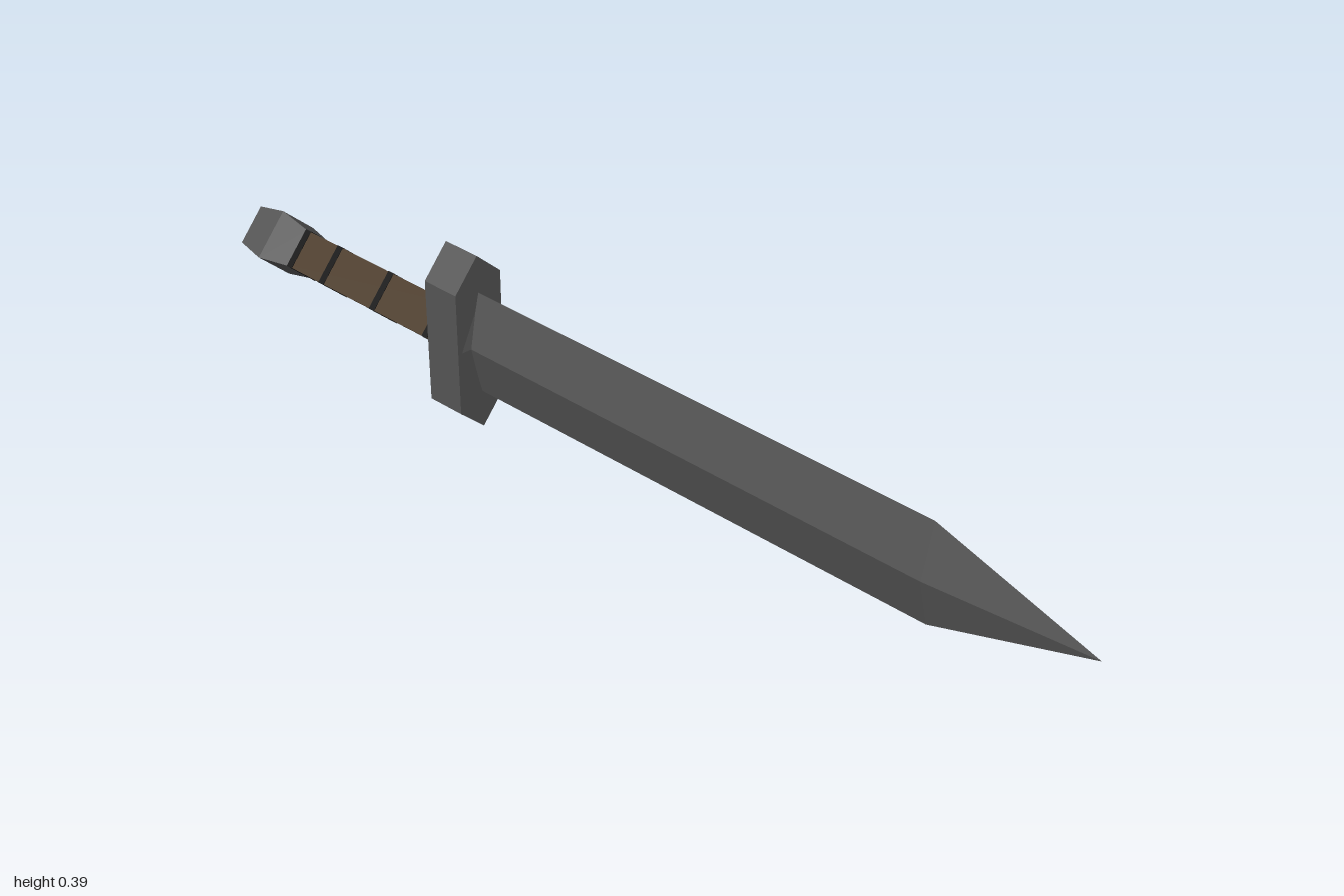
import * as THREE from 'three';

const CENTRE_Y = 0.196;

const material = (color) => new THREE.MeshStandardMaterial({ color, flatShading: true });

// Four-sided loft along z: profile holds [radius, z] pairs, z rising
function diamondLoft(name, profile, mat, sx = 1, sy = 1) {
  const points = profile.map(([r, z]) => new THREE.Vector2(r, z));
  const geometry = new THREE.LatheGeometry(points, 4).rotateX(Math.PI / 2).scale(sx, sy, 1).toNonIndexed();
  geometry.computeVertexNormals();
  const mesh = new THREE.Mesh(geometry, mat);
  mesh.name = name;
  mesh.position.y = CENTRE_Y;
  return mesh;
}

export function createModel() {
  const model = new THREE.Group();
  model.name = 'dagger';
  const steel = material(0x555555);
  const leather = material(0x4a3a28);
  const binding = material(0x0a0a0a);

  // Blade with a diamond section and a straight taper to the tip
  model.add(diamondLoft('blade', [[0, -0.42], [1, -0.42], [1, 0.66], [0, 1]], steel, 0.029, 0.113));

  // Shallow collar where the blade meets the guard
  model.add(diamondLoft('bladeCollar', [[0.06, -0.392], [0.029, -0.386], [0, -0.386]], steel, 1, 1.88));

  // Hexagonal crossguard
  const outline = new THREE.Shape([
    [0, -0.195], [0.06, -0.135], [0.06, 0.135], [0, 0.195], [-0.06, 0.135], [-0.06, -0.135],
  ].map(([x, y]) => new THREE.Vector2(x, y)));
  const guard = new THREE.Mesh(
    new THREE.ExtrudeGeometry(outline, { depth: 0.08, bevelEnabled: false }), steel);
  guard.name = 'crossguard';
  guard.position.set(0, 0.195, -0.47);
  model.add(guard);

  // Leather grip with dark bindings
  model.add(diamondLoft('grip', [[0, -0.87], [0.057, -0.87], [0.057, -0.46], [0, -0.46]], leather));
  for (const z of [-0.483, -0.627, -0.769, -0.86]) {
    model.add(diamondLoft('gripBinding',
      [[0, z - 0.007], [0.0585, z - 0.007], [0.0585, z + 0.007], [0, z + 0.007]], binding));
  }

  // Faceted pommel, widest at its middle
  model.add(diamondLoft('pommel',
    [[0, -1], [0.058, -1], [0.074, -0.932], [0.057, -0.865], [0, -0.865]], steel));

  return model;
}
